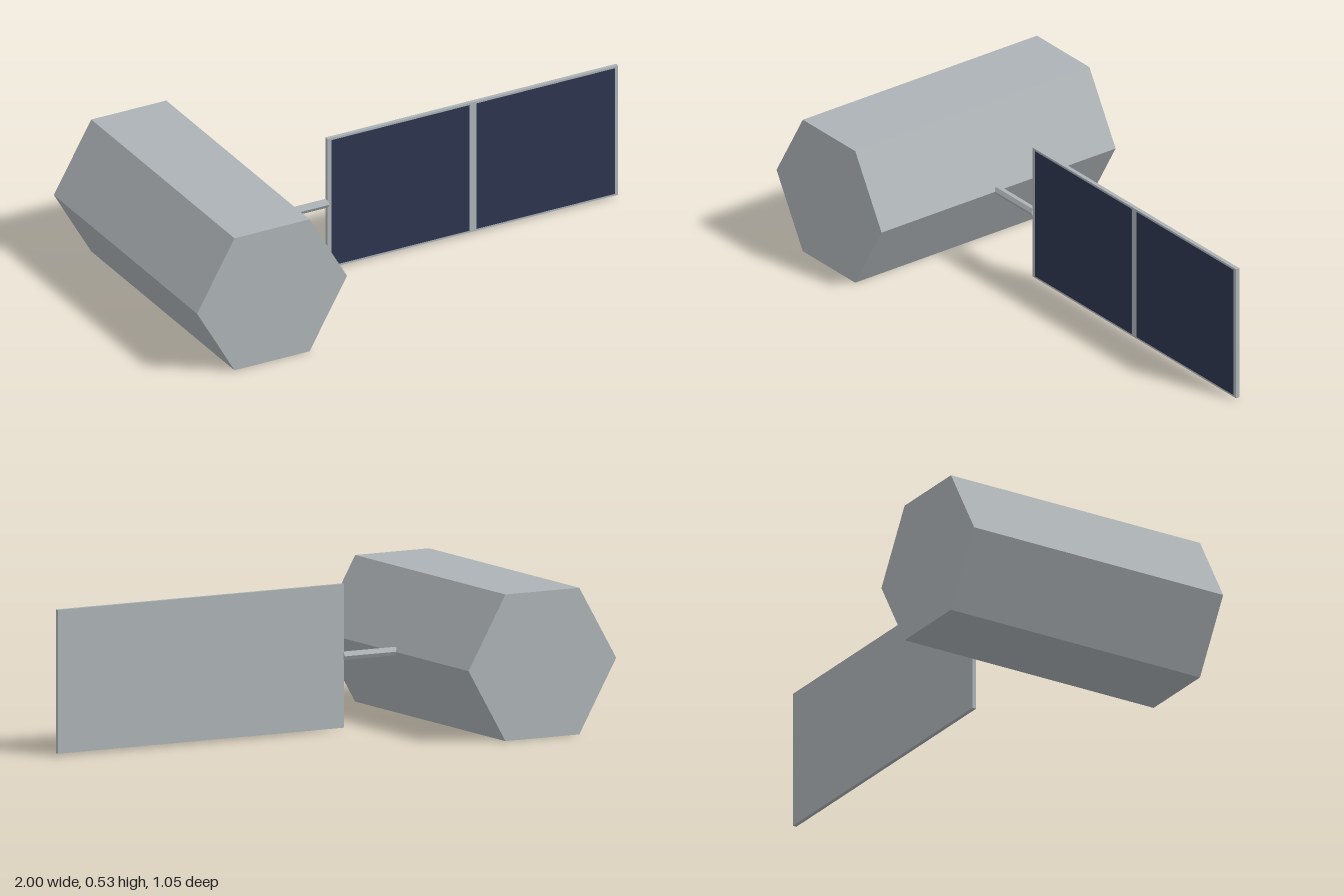
import * as THREE from 'three';

export function createModel() {
  const model = new THREE.Group();
  const metal = new THREE.MeshStandardMaterial({ color: 0xacb2b5, flatShading: true });
  metal.name = 'light grey metal';
  const navy = new THREE.MeshStandardMaterial({ color: 0x2d3550, flatShading: true });
  navy.name = 'navy solar cell';

  const midY = 0.265;
  const add = (name, geometry, material, x, y, z) => {
    const mesh = new THREE.Mesh(geometry, material);
    mesh.name = name;
    mesh.position.set(x, y, z);
    model.add(mesh);
  };

  // Hexagonal body lying along z, flat on top and bottom
  const bodyRadius = 0.305;
  const body = new THREE.CylinderGeometry(bodyRadius, bodyRadius, 1.054, 6);
  body.rotateY(Math.PI / 2).rotateX(Math.PI / 2);
  add('body', body, metal, -0.695, bodyRadius * Math.sqrt(3) / 2, 0);

  // Thin hexagonal boom from the body's side edge to the panel
  const boom = new THREE.CylinderGeometry(0.016, 0.016, 0.235, 6);
  boom.rotateZ(Math.PI / 2);
  add('boom', boom, metal, -0.2975, midY, 0);

  // Panel backing, with its rim showing around the cells
  add('panelFrame', new THREE.BoxGeometry(1.182, 0.518, 0.015), metal, 0.409, midY + 0.001, 0);

  // Two solar cells on the front face
  for (const side of [-1, 1]) {
    add(side < 0 ? 'rightSolarCell' : 'leftSolarCell', new THREE.BoxGeometry(0.562, 0.502, 0.003),
      navy, 0.409 + side * 0.295, midY + 0.001, 0.0075);
  }
  return model;
}
